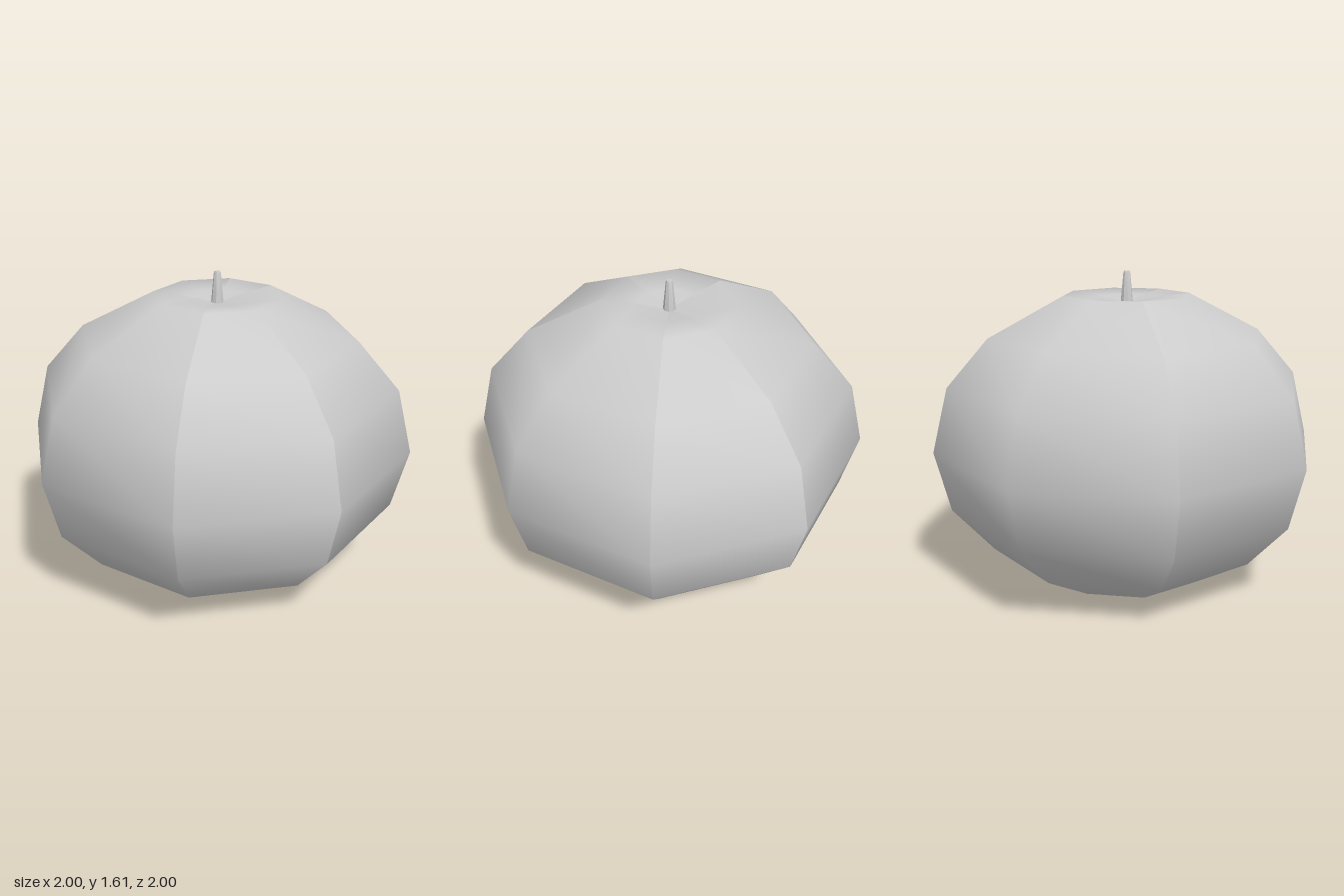
import * as THREE from 'three';
import { mergeVertices, toCreasedNormals } from 'three/addons/utils/BufferGeometryUtils.js';

// Profiles as [radius, height]
const OUTER = [[0.385, 0], [0.71, 0.18], [0.92, 0.41], [1, 0.72], [0.92, 1.05], [0.71, 1.29], [0.33, 1.49], [0.16, 1.475], [0, 1.45]];
const INNER = [[0, 1.42], [0.16, 1.445], [0.32, 1.46], [0.69, 1.265], [0.893, 1.035], [0.97, 0.72], [0.893, 0.42], [0.69, 0.2], [0.385, 0.03]];
const RIM = [[0.385, 0.03], [0.385, 0]];

// Angular panels in eighths of a turn [start, count]; smooth inside, sharp at the seams
const PANELS = [[0, 2], [2, 1], [3, 2], [5, 2], [7, 1]];

function panelGeometry(profile, start, count) {
  const step = Math.PI / 4;
  const points = profile.map(([r, y]) => new THREE.Vector2(r, y));
  const geo = new THREE.LatheGeometry(points, count, Math.PI / 2 - (start + count) * step, count * step);
  geo.deleteAttribute('uv');
  geo.deleteAttribute('normal');
  const merged = mergeVertices(geo, 1e-4);
  merged.computeVertexNormals();
  return merged;
}

export function createModel() {
  const model = new THREE.Group();
  const material = new THREE.MeshStandardMaterial({ color: 0xcccccc });

  function add(parent, geometry, name) {
    const mesh = new THREE.Mesh(geometry, material);
    mesh.name = name;
    parent.add(mesh);
    return mesh;
  }

  // Hollow eight-sided body, open underneath
  const body = new THREE.Group();
  body.name = 'body';
  model.add(body);
  PANELS.forEach(([start, count]) => {
    add(body, panelGeometry(OUTER, start, count), 'outerPanel');
    add(body, panelGeometry(INNER, start, count), 'innerPanel');
  });

  // Short wall around the bottom opening
  for (let i = 0; i < 8; i++) add(body, panelGeometry(RIM, i, 1), 'openingRim');

  // Tapered stem with a bevelled tip, rising from the dimple
  const stemProfile = [[0.033, 1.44], [0.018, 1.6], [0.014, 1.61], [0, 1.61]]
    .map(([r, y]) => new THREE.Vector2(r, y));
  add(model, toCreasedNormals(new THREE.LatheGeometry(stemProfile, 8), 0.6), 'stem');

  return model;
}
